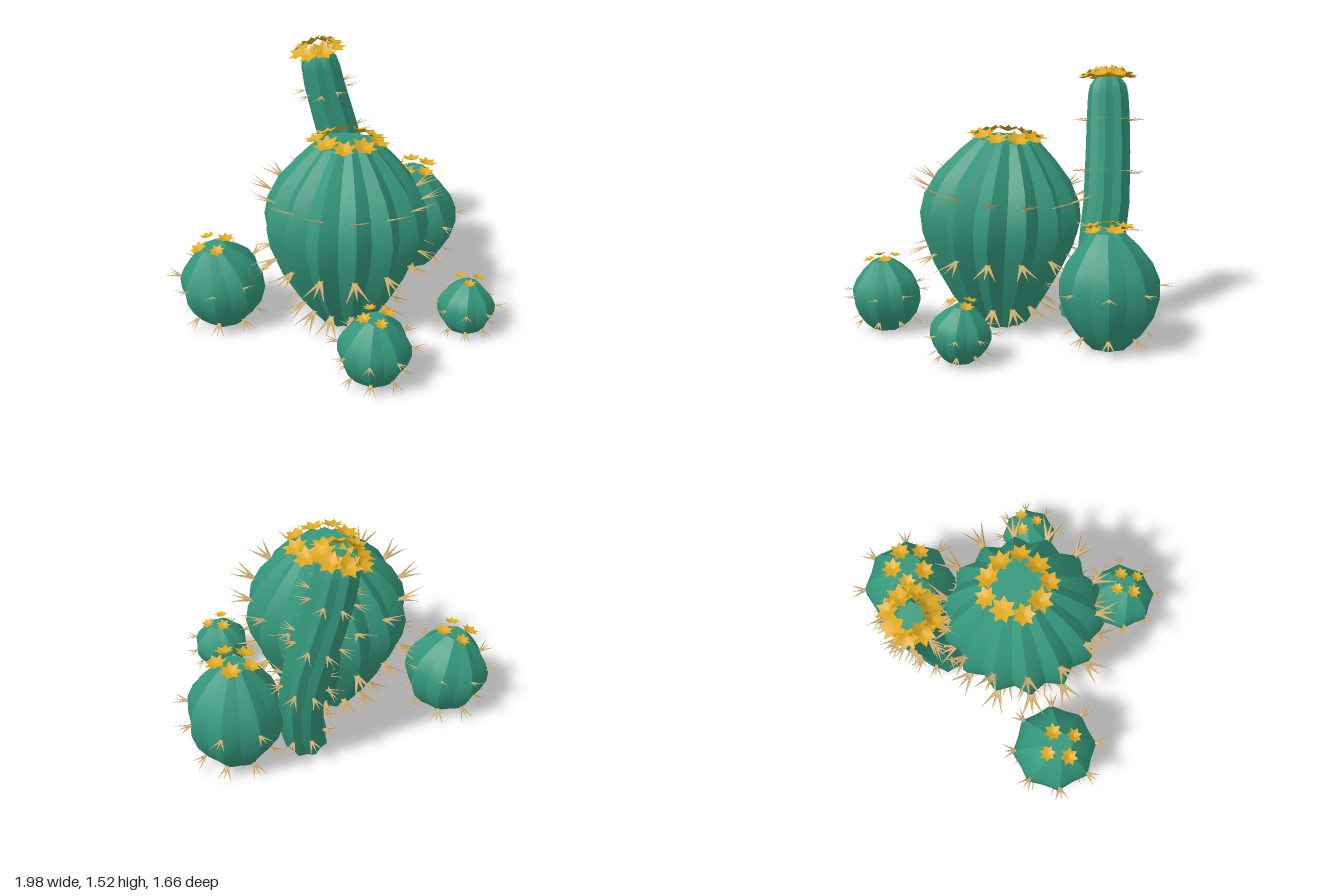
import * as THREE from 'three';
import { mergeGeometries } from 'three/addons/utils/BufferGeometryUtils.js';

const V = (x, y, z) => new THREE.Vector3(x, y, z);

// Profiles: [fraction of height, fraction of the widest radius]
const bigProfile = [[0, 0.35], [0.06, 0.45], [0.15, 0.59], [0.32, 0.81], [0.48, 0.96], [0.58, 1], [0.68, 0.96], [0.8, 0.82], [0.91, 0.6], [1, 0.38]];
const ballProfile = [[0, 0.43], [0.1, 0.66], [0.25, 0.88], [0.42, 1], [0.58, 0.99], [0.72, 0.86], [0.87, 0.6], [1, 0.3]];
const columnProfile = [[0, 0.95], [0.12, 0.98], [0.3, 1], [0.5, 1], [0.7, 0.97], [0.85, 0.93], [0.93, 0.88], [0.97, 0.8], [1, 0.55]];

const plants = [
  { name: 'bigBarrel', path: [V(-0.115, 0, -0.01), V(-0.115, 0.5, -0.01), V(-0.07, 1.1, -0.03)], radius: 0.475,
    profile: bigProfile, ribs: 14, valley: 0.88, phase: 0, rows: [0.12, 0.41, 0.72], spine: 0.17,
    flowers: 9, ring: 0.165, flowerSize: 0.075, tilt: 0.35 },
  { name: 'column', path: [V(0.25, 0.035, -0.31), V(0.33, 0.3, -0.36), V(0.345, 0.6, -0.42), V(0.305, 0.9, -0.48), V(0.26, 1.15, -0.53), V(0.22, 1.435, -0.565)],
    radius: 0.135, profile: columnProfile, ribs: 8, valley: 0.87, phase: 0.2, rows: [0.12, 0.4, 0.62, 0.83], spine: 0.105,
    flowers: 8, ring: 0.105, flowerSize: 0.075, tilt: 0.5 },
  { name: 'rightBall', path: [V(0.63, 0, -0.15), V(0.63, 0.33, -0.15), V(0.62, 0.655, -0.14)], radius: 0.28,
    profile: ballProfile, ribs: 8, valley: 0.9, phase: 0.06, rows: [0.13, 0.53], spine: 0.11,
    flowers: 5, ring: 0.1, flowerSize: 0.062, tilt: 0.2 },
  { name: 'backBall', path: [V(-0.65, 0, -0.49), V(-0.655, 0.25, -0.495), V(-0.695, 0.5, -0.51)], radius: 0.25,
    profile: ballProfile, ribs: 8, valley: 0.9, phase: 0.1, rows: [0.15, 0.62], spine: 0.105,
    flowers: 4, ring: 0.085, flowerSize: 0.052, tilt: 0.2 },
  { name: 'frontLeftBall', path: [V(-0.475, 0, 0.56), V(-0.475, 0.2, 0.56), V(-0.485, 0.405, 0.575)], radius: 0.205,
    profile: ballProfile, ribs: 8, valley: 0.9, phase: 0.15, rows: [0.17, 0.56], spine: 0.09,
    flowers: 4, ring: 0.07, flowerSize: 0.043, tilt: 0.2 },
  { name: 'frontRightBall', path: [V(0.25, 0, 0.61), V(0.25, 0.15, 0.61), V(0.27, 0.31, 0.61)], radius: 0.168,
    profile: ballProfile, ribs: 8, valley: 0.9, phase: 0.1, rows: [0.18, 0.55], spine: 0.08,
    flowers: 3, ring: 0.06, flowerSize: 0.042, tilt: 0.2 },
];

// Cross-section frame along a plant's centre line
function frameAt(curve, t) {
  const c = curve.getPointAt(t), up = curve.getTangentAt(t);
  const x = V(1, 0, 0).addScaledVector(up, -up.x).normalize();
  return { c, up, x, z: x.clone().cross(up) };
}

function radiusAt(plant, t) {
  const p = plant.profile;
  let i = 1;
  while (i < p.length - 1 && t > p[i][0]) i++;
  const k = (t - p[i - 1][0]) / (p[i][0] - p[i - 1][0]);
  return plant.radius * THREE.MathUtils.lerp(p[i - 1][1], p[i][1], k);
}

function pointOn(curve, t, angle, r) {
  const f = frameAt(curve, t);
  return f.c.addScaledVector(f.x, r * Math.cos(angle)).addScaledVector(f.z, r * Math.sin(angle));
}

// Ribbed body: every flank is its own strip, so ridges and valleys stay sharp
function bodyGeometry(plant, curve) {
  const pos = [], index = [], n = plant.ribs * 2, rows = plant.profile.length;
  const at = (j, s) => pointOn(curve, plant.profile[j][0], plant.phase + (s / n) * Math.PI * 2,
    plant.radius * plant.profile[j][1] * (s % 2 ? plant.valley : 1));
  const add = (p) => pos.push(p.x, p.y, p.z) / 3 - 1;
  for (let s = 0; s < n; s++) {
    for (let j = 0; j < rows; j++) {
      const a = add(at(j, s)), b = add(at(j, s + 1));
      if (j) index.push(a - 2, a, b - 2, a, b, b - 2);
    }
    index.push(add(curve.getPointAt(1)), add(at(rows - 1, s + 1)), add(at(rows - 1, s)));
    index.push(add(curve.getPointAt(0)), add(at(0, s)), add(at(0, s + 1)));
  }
  const g = new THREE.BufferGeometry();
  g.setAttribute('position', new THREE.Float32BufferAttribute(pos, 3));
  g.setIndex(index);
  g.computeVertexNormals();
  return g;
}

// Fans of three flat, blade-like spines along each ridge
function spineGeometry(plant, curve) {
  const parts = [], len = plant.spine;
  for (const t of plant.rows) for (let k = 0; k < plant.ribs; k++) {
    const a = plant.phase + (k / plant.ribs) * Math.PI * 2;
    const p = pointOn(curve, t, a, radiusAt(plant, t));
    const along = pointOn(curve, t + 0.03, a, radiusAt(plant, t + 0.03))
      .sub(pointOn(curve, t - 0.03, a, radiusAt(plant, t - 0.03))).normalize();
    const f = frameAt(curve, t);
    const side = f.x.multiplyScalar(-Math.sin(a)).addScaledVector(f.z, Math.cos(a));
    const out = along.clone().cross(side).normalize();
    for (const spread of [-0.45, 0, 0.45]) {
      const g = new THREE.ConeGeometry(len * 0.085, len, 4);
      g.translate(0, len * 0.42, 0).scale(1, spread ? 1 : 0.85, 0.35).rotateZ(spread);
      g.applyMatrix4(new THREE.Matrix4().makeBasis(side, out, along).setPosition(p));
      parts.push(g);
    }
  }
  return mergeGeometries(parts);
}

// Star-shaped open blossom
function blossomGeometry(r) {
  const pos = [], petals = 7;
  const tip = (i) => {
    const a = (i / (petals * 2)) * Math.PI * 2, k = i % 2 ? 0.62 : 1;
    return [r * k * Math.cos(a), r * k * 0.38, r * k * Math.sin(a)];
  };
  for (let i = 0; i < petals * 2; i++) pos.push(0, 0, 0, ...tip(i + 1), ...tip(i));
  const g = new THREE.BufferGeometry();
  g.setAttribute('position', new THREE.Float32BufferAttribute(pos, 3));
  g.computeVertexNormals();
  return g;
}

// Ring of blossoms around the crown
function flowerGeometry(plant, curve) {
  const parts = [], f = frameAt(curve, 1);
  for (let i = 0; i < plant.flowers; i++) {
    const a = 0.4 + (i / plant.flowers) * Math.PI * 2;
    const out = f.x.clone().multiplyScalar(Math.cos(a)).addScaledVector(f.z, Math.sin(a));
    const dir = f.up.clone().multiplyScalar(Math.cos(plant.tilt)).addScaledVector(out, Math.sin(plant.tilt));
    const p = f.c.clone().addScaledVector(out, plant.ring * (i % 2 ? 1.06 : 0.94)).addScaledVector(f.up, 0.01);
    const g = blossomGeometry(plant.flowerSize * (i % 2 ? 0.92 : 1.05));
    g.rotateY(i * 1.3);
    g.applyQuaternion(new THREE.Quaternion().setFromUnitVectors(V(0, 1, 0), dir));
    parts.push(g.translate(p.x, p.y, p.z));
  }
  return mergeGeometries(parts);
}

export function createModel() {
  const green = new THREE.MeshStandardMaterial({ color: 0x34977b });
  const gold = new THREE.MeshStandardMaterial({ color: 0xdfa81e, side: THREE.DoubleSide });
  const tan = new THREE.MeshStandardMaterial({ color: 0xdcb878 });
  green.name = 'cactusGreen';
  gold.name = 'flowerGold';
  tan.name = 'spineTan';

  const model = new THREE.Group();
  model.name = 'cactusCluster';
  for (const plant of plants) {
    const curve = new THREE.CatmullRomCurve3(plant.path);
    const group = new THREE.Group();
    group.name = plant.name;
    const add = (name, geometry, material) => {
      const mesh = new THREE.Mesh(geometry, material);
      mesh.name = name;
      group.add(mesh);
    };
    add('ribbedBody', bodyGeometry(plant, curve), green);
    add('spines', spineGeometry(plant, curve), tan);
    add('flowers', flowerGeometry(plant, curve), gold);
    model.add(group);
  }
  return model;
}
